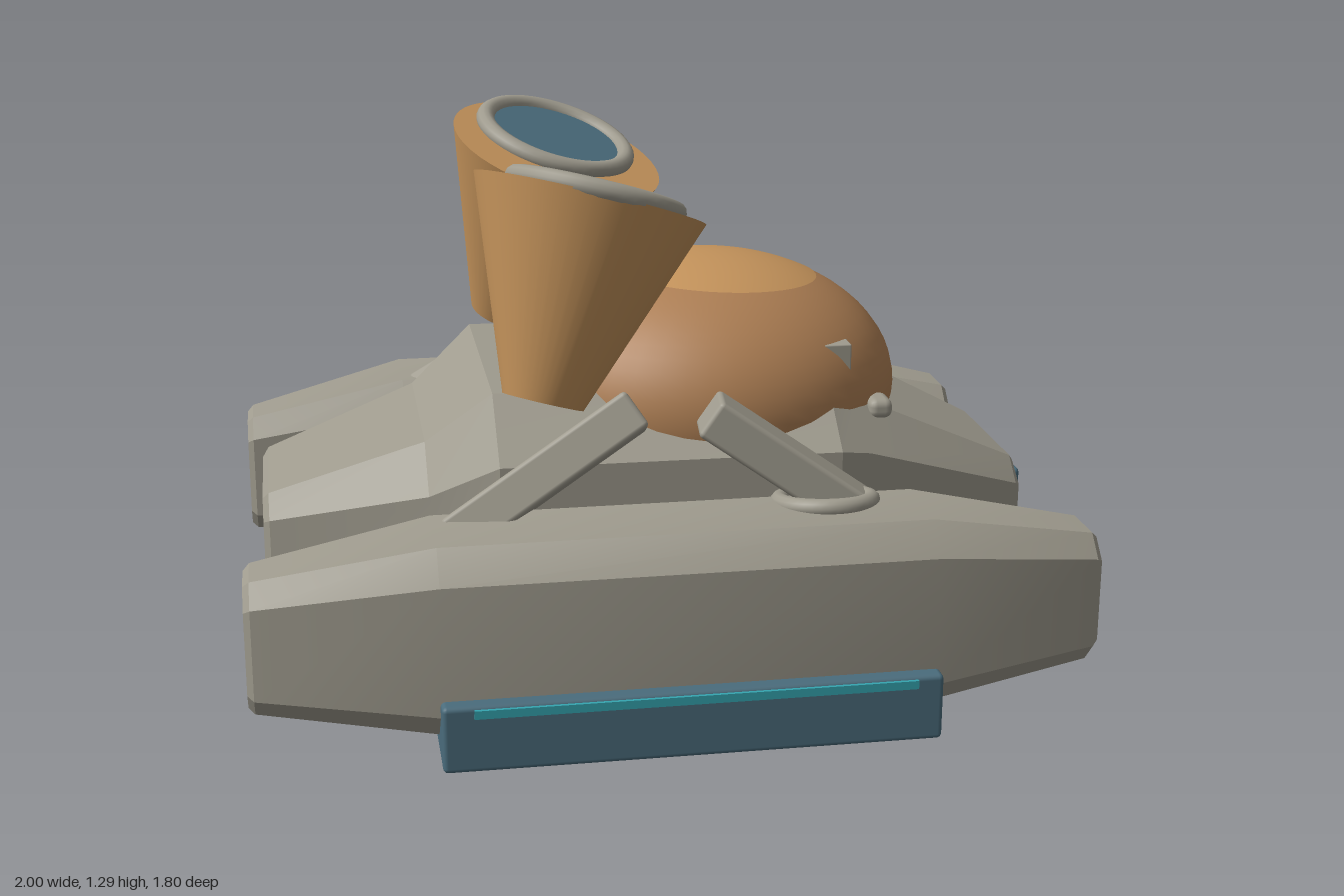
import * as THREE from 'three';
import { toCreasedNormals } from 'three/addons/utils/BufferGeometryUtils.js';
import { RoundedBoxGeometry } from 'three/addons/geometries/RoundedBoxGeometry.js';

function material(name, color) {
  const m = new THREE.MeshStandardMaterial({ color });
  m.name = name;
  return m;
}

// Eight-sided cross-section across z at a given x
function section(x, zc, [wb, wm, wt], [yb, yl, yh, yt]) {
  return [[yt, wt], [yh, wm], [yl, wm], [yb, wb], [yb, -wb], [yl, -wm], [yh, -wm], [yt, -wt]]
    .map(([y, z]) => new THREE.Vector3(x, y, zc + z));
}

// Skin a row of cross-sections running along +x, with closed ends
function loft(rows) {
  const pos = [];
  const tri = (...pts) => pts.forEach((p) => pos.push(p.x, p.y, p.z));
  const n = rows[0].length;
  for (let r = 0; r < rows.length - 1; r++) {
    const a = rows[r], b = rows[r + 1];
    for (let i = 0; i < n; i++) {
      const j = (i + 1) % n;
      tri(a[i], a[j], b[i]);
      tri(a[j], b[j], b[i]);
    }
  }
  const first = rows[0], last = rows[rows.length - 1];
  for (let i = 1; i < n - 1; i++) {
    tri(first[0], first[i + 1], first[i]);
    tri(last[0], last[i], last[i + 1]);
  }
  const g = new THREE.BufferGeometry();
  g.setAttribute('position', new THREE.Float32BufferAttribute(pos, 3));
  return toCreasedNormals(g, 0.3);
}

export function createModel() {
  const grey = material('hull grey', 0x9f9b8e);
  const tan = material('tan', 0xc4935b);
  const brown = material('dome brown', 0xae7f54);
  const blue = material('slate blue', 0x4a6c7c);
  const cyan = material('cyan', 0x35a5b0);

  const model = new THREE.Group();
  const add = (name, geo, mat, x = 0, y = 0, z = 0, parent = model) => {
    const mesh = new THREE.Mesh(geo, mat);
    mesh.name = name;
    mesh.position.set(x, y, z);
    parent.add(mesh);
    return mesh;
  };
  const box = (w, h, d, r = 0.012) => new RoundedBoxGeometry(w, h, d, 2, r);

  // Central hull
  add('hull', loft([
    section(-0.955, 0, [0.16, 0.21, 0.16], [0.24, 0.28, 0.38, 0.425]),
    section(-0.94, 0, [0.18, 0.23, 0.18], [0.22, 0.27, 0.39, 0.445]),
    section(-0.56, 0, [0.27, 0.37, 0.25], [0.21, 0.28, 0.48, 0.58]),
    section(-0.4, 0, [0.33, 0.48, 0.32], [0.21, 0.29, 0.58, 0.715]),
    section(0.42, 0, [0.33, 0.49, 0.34], [0.21, 0.29, 0.58, 0.7]),
    section(0.5, 0, [0.31, 0.45, 0.31], [0.21, 0.29, 0.56, 0.66]),
    section(0.94, 0, [0.19, 0.25, 0.19], [0.22, 0.27, 0.39, 0.445]),
    section(0.955, 0, [0.17, 0.23, 0.17], [0.24, 0.28, 0.38, 0.425]),
  ]), grey);

  // Framed light at the hull end
  add('lightFrame', box(0.05, 0.14, 0.35), blue, 0.951, 0.332, 0);
  add('lightBar', new THREE.BoxGeometry(0.008, 0.06, 0.28), tan, 0.979, 0.337, 0);

  // Dome with a paler crown
  add('dome', new THREE.SphereGeometry(1, 48, 32), brown, 0.17, 0.64, 0).scale.set(0.49, 0.325, 0.455);
  const crown = new THREE.SphereGeometry(1, 48, 10, 0, Math.PI * 2, 0, 0.55);
  crown.rotateZ(-0.08);
  add('domeCrown', crown, tan, 0.17, 0.64, 0).scale.set(0.492, 0.327, 0.457);

  for (const s of [1, -1]) {
    const side = new THREE.Group();
    side.name = s > 0 ? 'frontSide' : 'backSide';
    model.add(side);
    const put = (name, geo, mat, x, y, z) => add(name, geo, mat, x, y, s * z, side);

    // Side pod
    const tip = (x) => section(x, s * 0.612, [0.05, 0.095, 0.05], [0.1, 0.15, 0.35, 0.395]);
    const neck = (x) => section(x, s * 0.613, [0.06, 0.108, 0.06], [0.088, 0.14, 0.36, 0.41]);
    const body = (x) => section(x, s * 0.655, [0.11, 0.175, 0.105], [0.05, 0.12, 0.43, 0.5]);
    put('pod', loft([tip(-1), neck(-0.985), body(-0.57), body(0.57), neck(0.985), tip(1)]), grey, 0, 0, 0);

    // Skid and its glowing strip
    put('skid', box(1.15, 0.16, 0.2), blue, 0, 0.08, 0.768);
    put('skidStrip', new THREE.BoxGeometry(1.01, 0.02, 0.008), cyan, 0, 0.155, 0.896);

    // Struts joining pod and hull
    for (const [a, b] of [
      [[-0.08, 0.715, 0.5], [-0.52, 0.44, 0.56]],
      [[0.09, 0.7, 0.5], [0.54, 0.39, 0.57]],
    ]) {
      const p = new THREE.Vector3(a[0], a[1], s * a[2]);
      const q = new THREE.Vector3(b[0], b[1], s * b[2]);
      const strut = add('strut', box(p.distanceTo(q), 0.1, 0.125), grey, 0, 0, 0, side);
      strut.position.copy(p).add(q).multiplyScalar(0.5);
      strut.quaternion.setFromUnitVectors(new THREE.Vector3(1, 0, 0), q.sub(p).normalize());
    }

    // Ring around the strut foot
    const ring = put('strutRing', new THREE.TorusGeometry(0.108, 0.022, 12, 40), grey, 0.36, 0.49, 0.565);
    ring.rotation.x = Math.PI / 2 - s * 0.17;

    // Small fittings on the dome
    put('domeFin', box(0.12, 0.12, 0.12, 0.004), grey, 0.418, 0.74, 0.268);
    put('domeClip', box(0.06, 0.05, 0.085, 0.02), grey, 0.555, 0.633, 0.3);

    // Flared turret leaning in over the hull
    const base = new THREE.Vector3(-0.29, 0.72, s * 0.42);
    const top = new THREE.Vector3(-0.16, 1.18, s * 0.31);
    const axis = top.clone().sub(base);
    const turret = new THREE.Group();
    turret.name = 'turret';
    turret.position.copy(top);
    turret.quaternion.setFromUnitVectors(new THREE.Vector3(0, 1, 0), axis.clone().normalize());
    side.add(turret);
    const len = axis.length();
    add('turretCone', new THREE.CylinderGeometry(0.28, 0.098, len, 48), tan, 0, -len / 2, 0, turret);
    add('turretRim', new THREE.TorusGeometry(0.192, 0.024, 12, 48).rotateX(Math.PI / 2), grey, 0, 0.008, s * 0.07, turret);
    add('turretLens', new THREE.CylinderGeometry(0.188, 0.188, 0.02, 48), blue, 0, 0.003, s * 0.07, turret);
  }
  return model;
}
